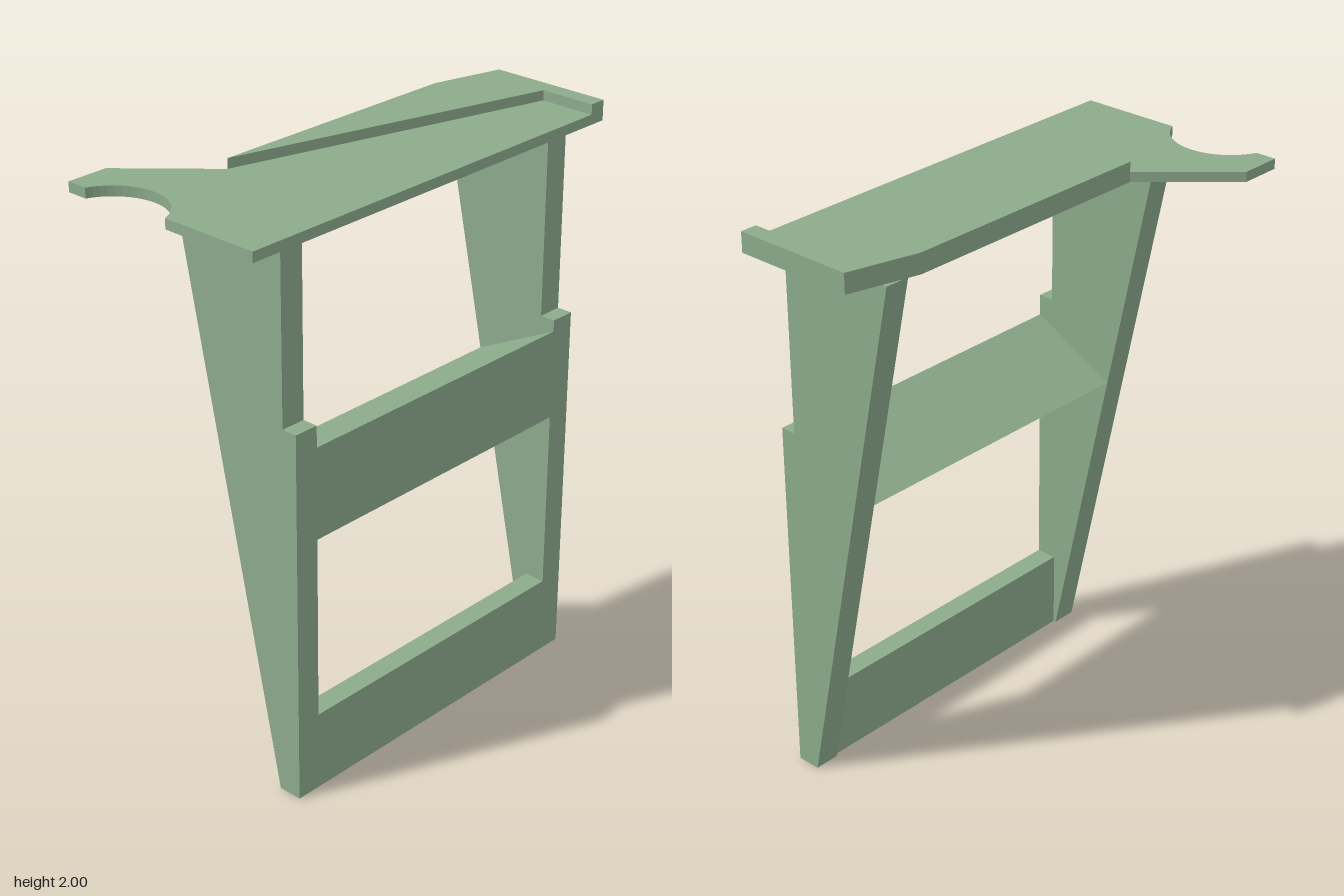
import * as THREE from 'three';

const material = new THREE.MeshStandardMaterial({ color: 0x8caa8c, flatShading: true });
const V = (x, y) => new THREE.Vector2(x, y);

// Closed polygon path whose corners are rounded by r
function roundedPath(points, r) {
  const path = new THREE.Path();
  const n = points.length;
  points.forEach(([x, y], i) => {
    const p = V(x, y);
    const toward = (q) => {
      const d = V(q[0], q[1]).sub(p);
      const len = d.length();
      return p.clone().addScaledVector(d, Math.min(r, len * 0.45) / len);
    };
    const a = toward(points[(i + n - 1) % n]);
    const b = toward(points[(i + 1) % n]);
    if (i === 0) path.moveTo(a.x, a.y);
    else path.lineTo(a.x, a.y);
    path.quadraticCurveTo(x, y, b.x, b.y);
  });
  path.closePath();
  return path;
}

function polygon(points) {
  return new THREE.Shape(points.map(([x, y]) => V(x, y)));
}

function extrude(shape, depth) {
  return new THREE.ExtrudeGeometry(shape, { depth, bevelEnabled: false, curveSegments: 8 });
}

function addMesh(group, name, geometry) {
  const mesh = new THREE.Mesh(geometry, material);
  mesh.name = name;
  group.add(mesh);
}

// Extrudes a (z, y) profile across x0..x1
function acrossX(shape, x0, x1) {
  return extrude(shape, x1 - x0).rotateY(-Math.PI / 2).translate(x1, 0, 0);
}

// Extrudes an (x, -z) plan upward from y0 to y1
function upward(shape, y0, y1) {
  return extrude(shape, y1 - y0).rotateX(-Math.PI / 2).translate(0, y0, 0);
}

// Lightening cut-outs of the side frames, as (z, y)
const cutouts = [
  [[0.265, 1.86], [-0.01, 1.86], [0.045, 1.55], [0.265, 1.683]],
  [[0.265, 1.59], [0.066, 1.48], [0.13, 1.18], [0.265, 1.257]],
  [[0.335, 0.87], [0.18, 0.955], [0.296, 0.41], [0.335, 0.41]],
];

// Tapered side frame with a notch above stepY
function sideFrame(x0, x1, stepY) {
  const shape = polygon([
    [0.305, 0], [0.39, 0], [0.39, stepY], [0.335, stepY], [0.335, 1.93], [-0.1, 1.93],
  ]);
  cutouts.forEach((c) => shape.holes.push(roundedPath(c, 0.035)));
  return acrossX(shape, x0, x1);
}

export function createModel() {
  const group = new THREE.Group();
  group.name = 'standingDesk';

  // Side frames
  addMesh(group, 'rightSideFrame', sideFrame(-0.635, -0.545, 1.32));
  addMesh(group, 'leftSideFrame', sideFrame(0.59, 0.68, 1.285));

  // Wedge-shaped middle beam and flat bottom rail
  const wedge = polygon([[0.39, 0.925], [0.39, 1.245], [0.077, 1.085]]);
  addMesh(group, 'middleBeam', acrossX(wedge, -0.545, 0.59));
  const rail = polygon([[0.315, 0], [0.39, 0], [0.39, 0.28], [0.315, 0.28]]);
  addMesh(group, 'bottomRail', acrossX(rail, -0.545, 0.59));

  // Table top with a round bite in the right end
  const top = new THREE.Shape();
  top.moveTo(-0.8, -0.39);
  [[0.8, -0.39], [0.8, 0.05], [0.55, 0.115], [-0.4, 0.12], [-0.65, 0.395], [-0.8, 0.395], [-0.8, 0.32]]
    .forEach(([x, y]) => top.lineTo(x, y));
  const half = Math.atan2(0.175, 0.0677);
  for (let i = 1; i <= 20; i++) {
    const t = half - (2 * half * i) / 20;
    top.lineTo(-0.8677 + 0.1877 * Math.cos(t), 0.145 + 0.1877 * Math.sin(t));
  }
  addMesh(group, 'tableTop', upward(top, 1.93, 1.965));

  // Raised border along the back and the left end
  const border = polygon([
    [0.74, -0.39], [0.8, -0.39], [0.8, 0.05], [0.55, 0.115], [-0.4, 0.12], [0.74, -0.19],
  ]);
  addMesh(group, 'raisedBorder', upward(border, 1.965, 2));

  return group;
}
